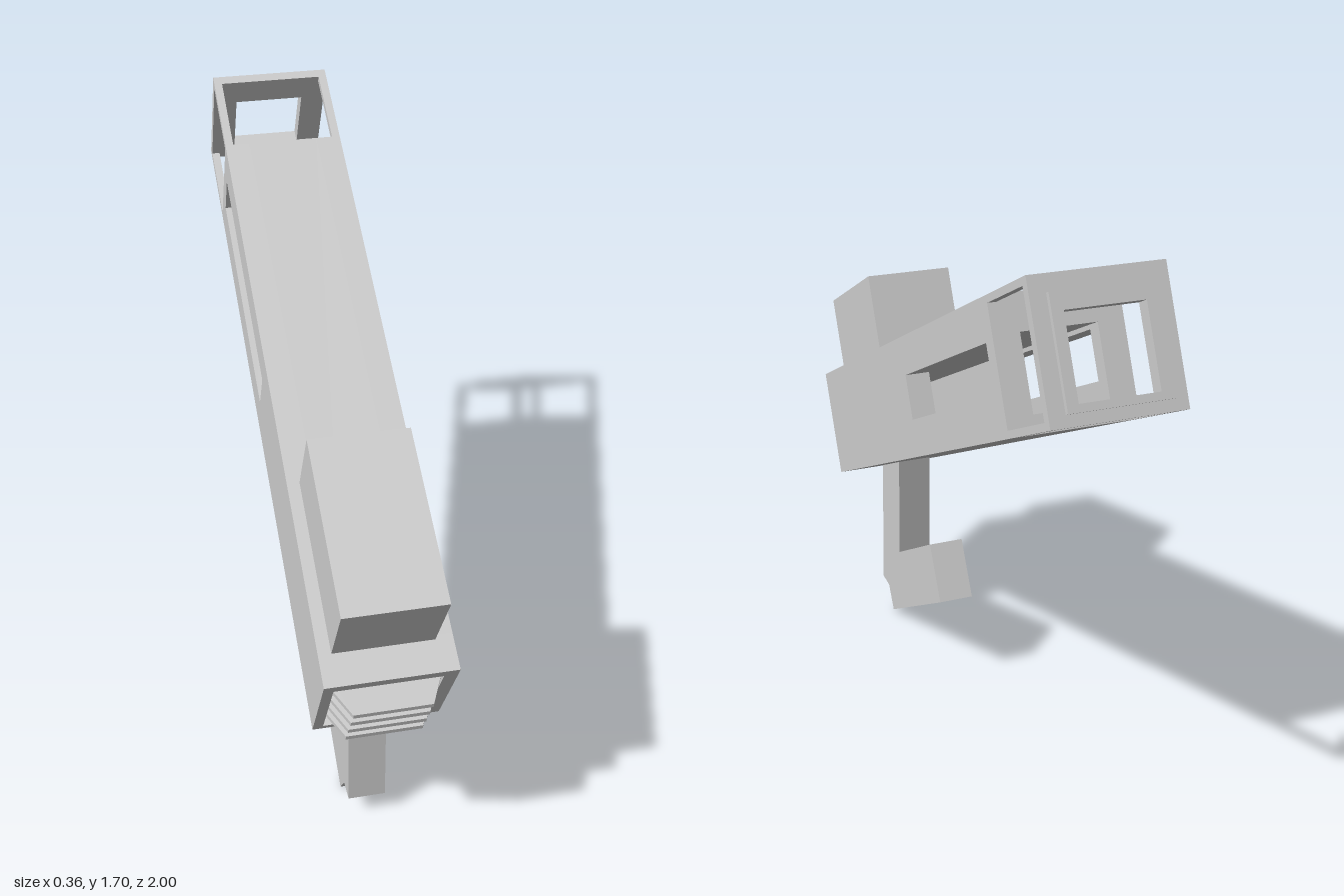
import * as THREE from 'three';

const grey = () => new THREE.MeshStandardMaterial({ color: 0xcccccc, flatShading: true });
const W = 0.178, H = 0.355;   // body half width and height

function mesh(geometry, name, parent) {
  const m = new THREE.Mesh(geometry, grey());
  m.name = name;
  parent.add(m);
  return m;
}

// Box given by its extents; u runs along the body from front to back (local -z)
function block(name, parent, x0, x1, v0, v1, u0, u1) {
  const g = new THREE.BoxGeometry(x1 - x0, v1 - v0, u1 - u0);
  g.translate((x0 + x1) / 2, (v0 + v1) / 2, -(u0 + u1) / 2);
  return mesh(g, name, parent);
}

function rect(Type, x0, x1, y0, y1) {
  const p = new Type();
  p.moveTo(x0, y0).lineTo(x1, y0).lineTo(x1, y1).lineTo(x0, y1).closePath();
  return p;
}

// Rectangular frame across the body: outer and hole are [x0, x1, v0, v1]
function frame(name, parent, outer, hole, u0, u1) {
  const s = rect(THREE.Shape, ...outer);
  s.holes.push(rect(THREE.Path, ...hole));
  const g = new THREE.ExtrudeGeometry(s, { depth: u1 - u0, bevelEnabled: false });
  g.translate(0, 0, -u1);
  return mesh(g, name, parent);
}

// Side profile drawn in (z, y) and extruded across x from x0 to x1
function profile(name, parent, shape, x0, x1) {
  const g = new THREE.ExtrudeGeometry(shape, { depth: x1 - x0, bevelEnabled: false });
  g.rotateY(-Math.PI / 2);
  g.translate(x1, 0, 0);
  return mesh(g, name, parent);
}

// Vent slat tapering towards its tip
function slat(parent, tipV) {
  const s = new THREE.Shape();
  s.moveTo(-0.15, 0).lineTo(0.14, 0).lineTo(0.14, 0.05).lineTo(0.1, 0.135).lineTo(-0.11, 0.135).lineTo(-0.15, 0.05);
  s.closePath();
  const g = new THREE.ExtrudeGeometry(s, { depth: 0.014, bevelEnabled: false });
  g.rotateX(Math.PI / 2);
  g.translate(0, 0, -0.135);
  const m = mesh(g, 'ventSlat', parent);
  m.position.set(0, tipV, 0.067);
  m.rotation.x = -0.28;
}

export function createModel() {
  const model = new THREE.Group();
  model.name = 'device';

  // Tilted body
  const body = new THREE.Group();
  body.name = 'body';
  body.rotation.x = 0.4625;
  body.position.set(0, 0.49, 0.8);
  model.add(body);

  // Front vent recess and the wall behind it
  frame('frontFrame', body, [-W, W, 0, H], [-0.15, 0.14, 0.022, 0.32], 0, 0.07);
  block('ventBack', body, -W, W, 0, H, 0.07, 0.1);
  for (let i = 0; i < 4; i++) slat(body, 0.315 - i * 0.0625);

  // Hollow main section with slotted side walls
  const inner = 0.105, u0 = 0.1, u1 = 1.738;
  for (const side of [-1, 1]) {
    const wall = rect(THREE.Shape, -u1, -u0, 0, H);
    wall.holes.push(rect(THREE.Path, -1.686, -0.97, 0.11, 0.243));
    const x = [side * inner, side * W].sort((a, b) => a - b);
    profile('slottedSideWall', body, wall, x[0], x[1]);
  }
  block('bodyFloor', body, -inner, inner, 0, 0.05, u0, u1);
  block('bodyRoof', body, -inner, inner, 0.255, H, u0, u1);

  // Open cage at the back
  for (const x of [-W, W - 0.024])
    for (const v of [0, H - 0.02])
      block('cageBar', body, x, x + 0.024, v, v + 0.02, u1, 1.98);
  const opening = [-inner, inner, 0.05, 0.265];
  frame('endPlate', body, [-W, W, 0, H], opening, 1.98, 2.008);
  frame('endRim', body, [-0.14, 0.135, 0.03, 0.31], opening, 2.008, 2.022);

  // Box on top
  block('topBox', body, -0.143, 0.13, H, 0.602, 0.089, 0.578);

  // Bent handle
  const pts = [[0.69, 0.56], [0.72, 0.083], [0.655, 0.08], [0.605, 0.003], [0.1, 0.31],
    [0.195, 0.475], [0.52, 0.283], [0.503, 0.66]];
  const handle = new THREE.Shape(pts.map(([z, y]) => new THREE.Vector2(z, y)));
  profile('handle', model, handle, -0.055, 0.055);

  return model;
}
